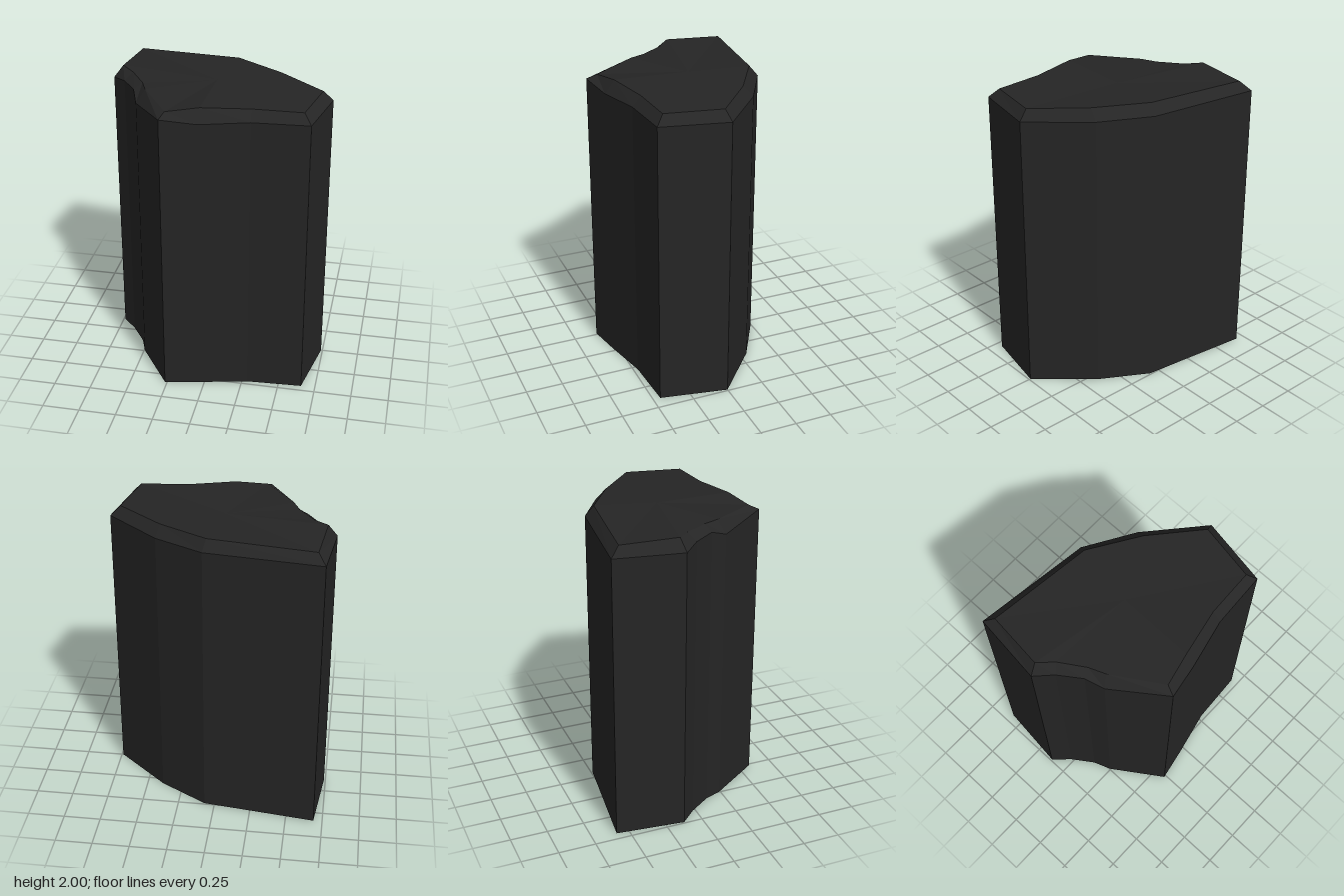
import * as THREE from 'three';

// Outline going round the column: outer x, z, shoulder height, then inner x, z, top height
const OUTLINE = [
  [-0.69, -0.585, 1.93, -0.64, -0.52, 1.99],
  [0.07, -0.49, 1.93, 0.05, -0.435, 2.0],
  [0.39, -0.305, 1.92, 0.37, -0.24, 1.99],
  [0.74, 0, 1.92, 0.675, 0.02, 1.985],
  [0.655, 0.45, 1.925, 0.605, 0.395, 1.985],
  [0.285, 0.47, 1.925, 0.285, 0.41, 1.99],
  [-0.03, 0.54, 1.915, -0.03, 0.475, 2.0],
  [-0.265, 0.585, 1.945, -0.24, 0.52, 1.975],
  [-0.495, 0.245, 1.9, -0.44, 0.21, 1.985],
  [-0.54, 0.125, 1.945, -0.485, 0.1, 1.985],
  [-0.64, -0.02, 1.94, -0.59, -0.06, 1.99],
  [-0.74, -0.125, 1.92, -0.68, -0.145, 2.0],
];

// Flat strip joining a lower ring to an upper ring
function band(lower, upper) {
  const pos = [];
  lower.forEach((a, i) => {
    const j = (i + 1) % lower.length;
    const b = lower[j], c = upper[j], d = upper[i];
    pos.push(...a, ...d, ...c, ...a, ...c, ...b);
  });
  return toGeometry(pos);
}

// Cap fanned out from a centre point
function cap(ring, centre) {
  const pos = [];
  ring.forEach((a, i) => pos.push(...centre, ...ring[(i + 1) % ring.length], ...a));
  return toGeometry(pos);
}

function toGeometry(pos) {
  const g = new THREE.BufferGeometry();
  g.setAttribute('position', new THREE.Float32BufferAttribute(pos, 3));
  g.computeVertexNormals();
  return g;
}

export function createModel() {
  const group = new THREE.Group();
  group.name = 'rockColumn';
  const stone = new THREE.MeshStandardMaterial({
    color: 0x252525, flatShading: true, side: THREE.DoubleSide,
  });
  stone.name = 'darkStone';

  const base = OUTLINE.map(([x, z]) => [x, 0, z]);
  const shoulder = OUTLINE.map(([x, z, y]) => [x, y, z]);
  const rim = OUTLINE.map((p) => [p[3], p[5], p[4]]);

  const add = (name, geometry) => {
    const mesh = new THREE.Mesh(geometry, stone);
    mesh.name = name;
    group.add(mesh);
  };
  // Upright walls, open underneath
  add('columnWalls', band(base, shoulder));
  // Chipped bevel round the top edge
  add('topBevel', band(shoulder, rim));
  // Slightly uneven top
  add('topSurface', cap(rim, [-0.02, 1.99, -0.03]));
  return group;
}
